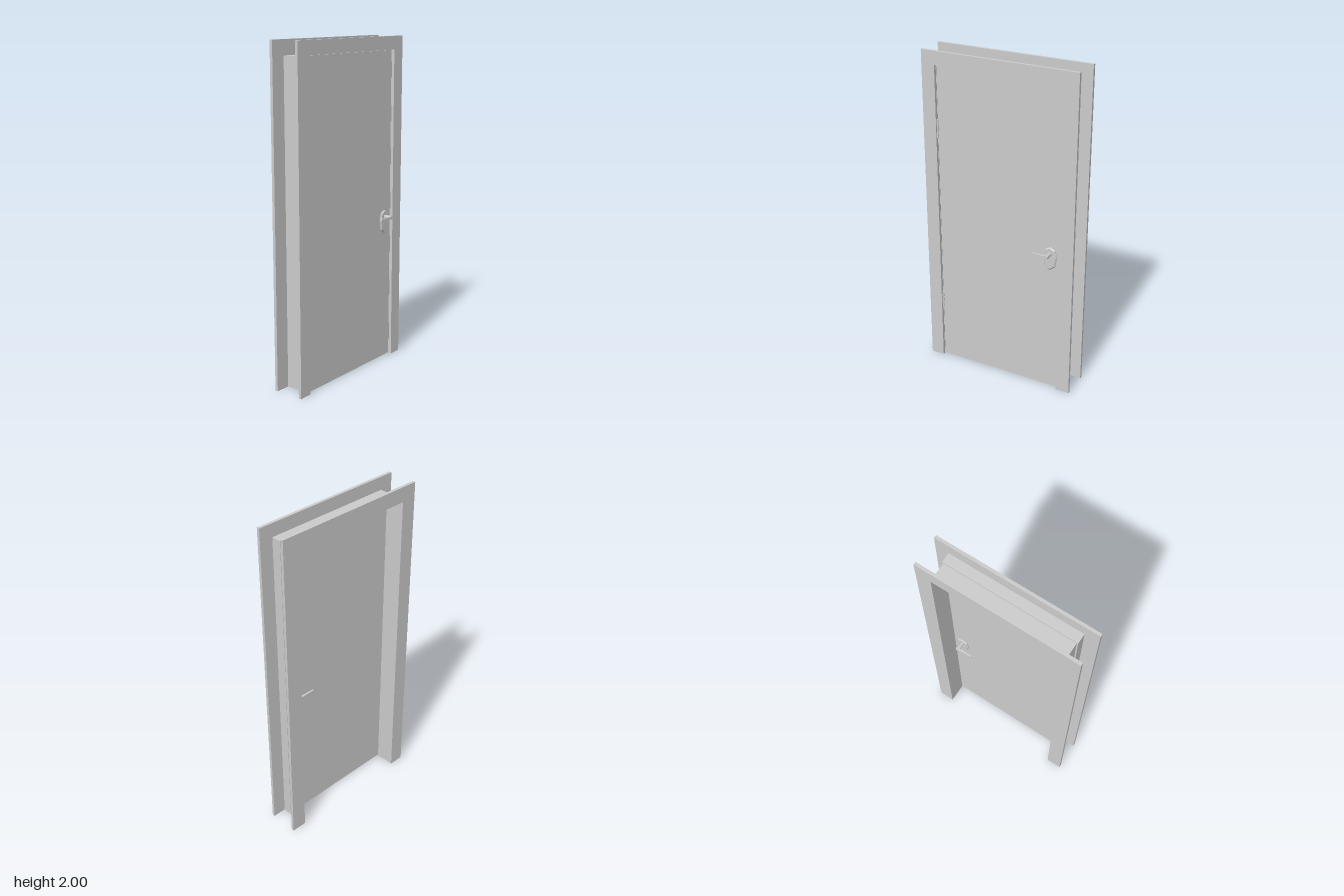
import * as THREE from 'three';

const material = new THREE.MeshStandardMaterial({ color: 0xcccccc, side: THREE.DoubleSide });

function add(parent, name, geometry, x = 0, y = 0, z = 0) {
  const mesh = new THREE.Mesh(geometry, material);
  mesh.name = name;
  mesh.position.set(x, y, z);
  parent.add(mesh);
  return mesh;
}

// Upside-down U standing on the floor, extruded from z0 to z1
function portal(parent, name, inX, inTop, outX, outTop, z0, z1) {
  const shape = new THREE.Shape([
    [-outX, 0], [-inX, 0], [-inX, inTop], [inX, inTop],
    [inX, 0], [outX, 0], [outX, outTop], [-outX, outTop],
  ].map(([x, y]) => new THREE.Vector2(x, y)));
  const geometry = new THREE.ExtrudeGeometry(shape, { depth: z1 - z0, bevelEnabled: false });
  return add(parent, name, geometry, 0, 0, z0);
}

// Backplate, spindle and lever, built outward (+z) from the door surface at z = 0
function makeHandle(name) {
  const handle = new THREE.Group();
  handle.name = name;
  const outline = [
    [0, 0.066], [-0.026, 0.052], [-0.036, 0.010], [-0.027, -0.045],
    [0, -0.066], [0.027, -0.045], [0.036, 0.010], [0.026, 0.052],
  ].map(([x, y]) => new THREE.Vector2(x, y));
  const plate = new THREE.ExtrudeGeometry(new THREE.Shape(outline), {
    depth: 0.004, bevelThickness: 0.006, bevelSize: 0.006, bevelSegments: 1,
  });
  add(handle, 'backplate', plate, 0, -0.031, 0);

  const spindle = new THREE.CylinderGeometry(0.0115, 0.0115, 0.06, 16).rotateX(Math.PI / 2);
  add(handle, 'spindle', spindle, 0, 0, 0.03);

  // Lever tapers toward its tip
  const profile = new THREE.Shape([
    [0.0115, 0.047], [0.0115, 0.062], [-0.097, 0.056], [-0.097, 0.047],
  ].map(([x, z]) => new THREE.Vector2(x, z)));
  const lever = new THREE.ExtrudeGeometry(profile, { depth: 0.018, bevelEnabled: false });
  lever.rotateX(Math.PI / 2);
  const p = lever.attributes.position;
  for (let i = 0; i < p.count; i++) {
    // swap the extrusion to be centred in y, thinner at the tip
    const taper = p.getX(i) < 0 ? 0.7 : 1;
    p.setY(i, (p.getY(i) + 0.009) * taper);
  }
  lever.computeVertexNormals();
  add(handle, 'lever', lever);
  return handle;
}

function makeHinge(y) {
  const hinge = new THREE.Group();
  hinge.name = 'hinge';
  add(hinge, 'hingePlate', new THREE.BoxGeometry(0.004, 0.115, 0.045), -0.4015, 0, 0.0325);
  // Three knuckles round a thinner pin
  add(hinge, 'hingePin', new THREE.CylinderGeometry(0.004, 0.004, 0.115, 12), -0.398, 0, 0.062);
  for (const k of [-1, 0, 1]) {
    add(hinge, 'hingeKnuckle', new THREE.CylinderGeometry(0.006, 0.006, 0.034, 12), -0.398, k * 0.0395, 0.062);
  }
  hinge.position.y = y;
  return hinge;
}

export function createModel() {
  const model = new THREE.Group();
  model.name = 'door';

  // Frame: casings on both wall faces joined by a thin rebated jamb
  portal(model, 'frontCasing', 0.401, 1.92, 0.485, 2, 0.057, 0.075);
  portal(model, 'backCasing', 0.391, 1.91, 0.485, 2, -0.12, -0.102);
  portal(model, 'frontJamb', 0.399, 1.918, 0.402, 1.921, 0, 0.058);
  portal(model, 'backJamb', 0.391, 1.91, 0.394, 1.913, -0.103, 0);
  portal(model, 'doorStop', 0.391, 1.91, 0.402, 1.921, -0.002, 0);

  // Leaf
  add(model, 'doorLeaf', new THREE.BoxGeometry(0.797, 1.912, 0.055), 0, 0.961, 0.0285);

  // Handles on both faces, mirrored through the leaf
  const front = makeHandle('frontHandle');
  front.position.set(0.334, 0.91, 0.056);
  const back = makeHandle('backHandle');
  back.position.set(0.334, 0.91, 0.001);
  back.scale.z = -1;
  model.add(front, back);

  for (const y of [0.405, 1.54]) model.add(makeHinge(y));
  return model;
}
